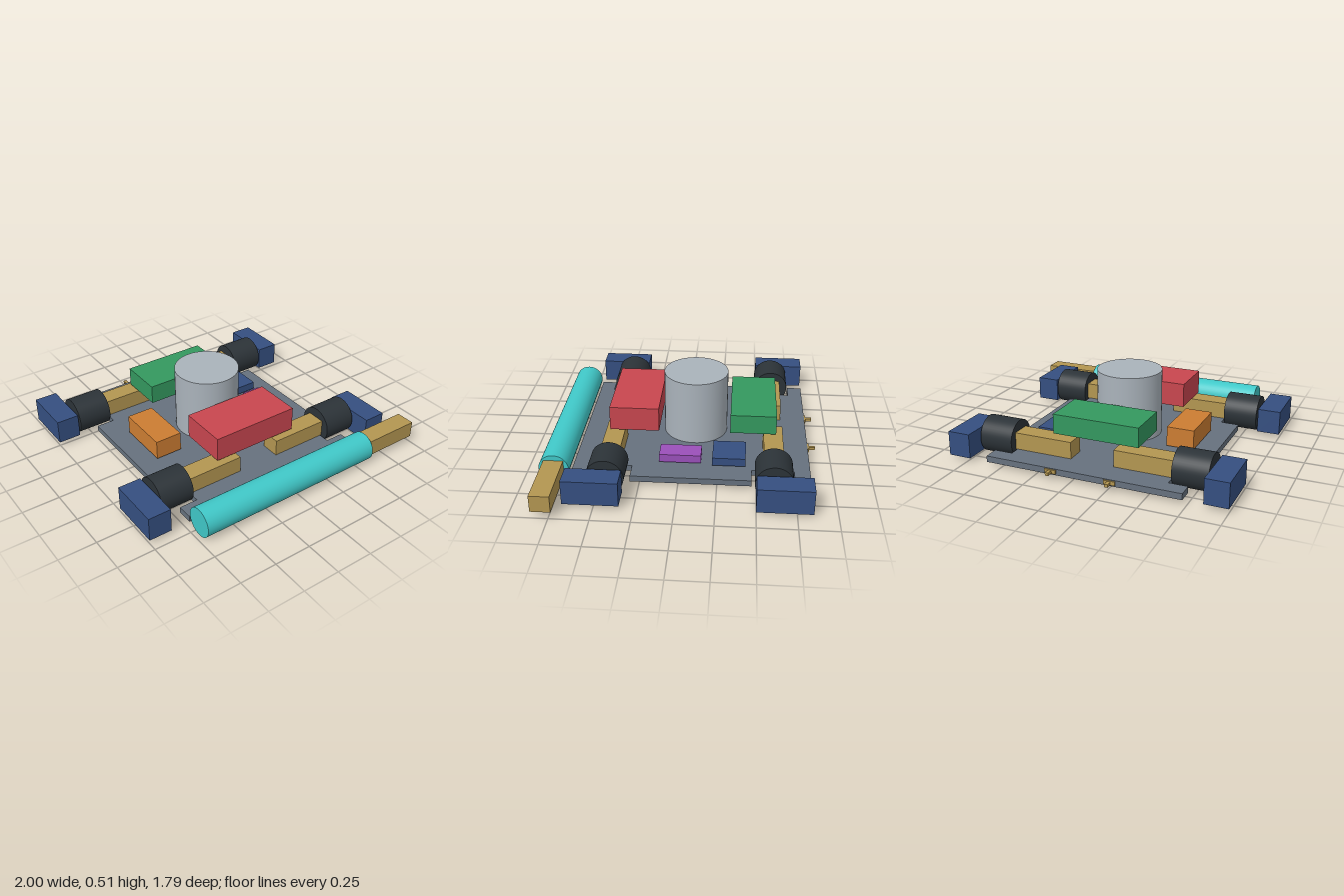
import * as THREE from 'three';

const mat = (name, color) => {
  const m = new THREE.MeshStandardMaterial({ color });
  m.name = name;
  return m;
};

export function createModel() {
  const slate = mat('slate', 0x66717e);
  const silver = mat('silver', 0xaab3bb);
  const red = mat('red', 0xc8464f);
  const green = mat('green', 0x34985f);
  const orange = mat('orange', 0xcc7d32);
  const purple = mat('purple', 0x9a50ba);
  const navy = mat('navy', 0x354f80);
  const brass = mat('brass', 0xb39651);
  const rubber = mat('rubber', 0x2c3338);
  const teal = mat('teal', 0x40c8c8);

  const group = new THREE.Group();
  group.name = 'rover';
  const cx = -0.06; // centre line of the chassis

  const add = (name, geometry, material) => {
    const mesh = new THREE.Mesh(geometry, material);
    mesh.name = name;
    group.add(mesh);
    return mesh;
  };
  // Box given by its extents on each axis
  const box = (name, material, [x0, x1], [y0, y1], [z0, z1]) => {
    const mesh = add(name, new THREE.BoxGeometry(x1 - x0, y1 - y0, z1 - z0), material);
    mesh.position.set((x0 + x1) / 2, (y0 + y1) / 2, (z0 + z1) / 2);
  };
  // Cylinder lying along x
  const roller = (name, material, r, [x0, x1], y, z) => {
    const mesh = add(name, new THREE.CylinderGeometry(r, r, x1 - x0, 48).rotateZ(Math.PI / 2), material);
    mesh.position.set((x0 + x1) / 2, y, z);
  };
  // Flat shape drawn in (x, -z), extruded upwards from y
  const slab = (name, shape, y, depth) => {
    const geometry = new THREE.ExtrudeGeometry(shape, { depth, bevelEnabled: false });
    add(name, geometry.rotateX(-Math.PI / 2), slate).position.y = y;
  };
  const points = (list) => list.map(([x, z]) => new THREE.Vector2(x, -z));

  // Chassis plate with four wheel notches
  const half = [
    [0.66, -0.848], [0.66, -0.745], [0.536, -0.745], [0.536, -0.47], [0.66, -0.47],
    [0.66, 0.307], [0.536, 0.307], [0.536, 0.587], [0.66, 0.587], [0.66, 0.69],
  ];
  const outline = [
    ...half.map(([x, z]) => [cx + x, z]),
    ...half.map(([x, z]) => [cx - x, z]).reverse(),
  ];
  slab('chassisPlate', new THREE.Shape(points(outline)), 0.026, 0.041);

  // Shallow frame under the plate
  const rect = (w, d) => points([[cx - w, -0.072 - d], [cx + w, -0.072 - d], [cx + w, -0.072 + d], [cx - w, -0.072 + d]]);
  const frame = new THREE.Shape(rect(0.49, 0.363));
  frame.holes.push(new THREE.Path(rect(0.435, 0.308)));
  slab('underFrame', frame, 0.002, 0.024);

  // Wheels, motors and outer pods on each corner
  for (const side of [-1, 1]) {
    const span = (a, b) => [cx + side * a, cx + side * b].sort((p, q) => p - q);
    for (const [z, pod] of [[-0.61, [-0.848, -0.498]], [0.449, [0.339, 0.692]]]) {
      roller('wheel', rubber, 0.121, span(0.546, 0.776), 0.123, z);
      box('wheelMotor', brass, span(0.147, 0.546), [0.067, 0.179], [z - 0.064, z + 0.064]);
      box('outerPod', navy, span(0.787, 0.94), [0.027, 0.19], pod);
    }
    // Small rear plugs: flange and pin
    const x = cx + side * 0.199;
    box('plugFlange', brass, [x - 0.038, x + 0.038], [0.036, 0.062], [-0.858, -0.848]);
    box('plugPin', brass, [x - 0.011, x + 0.011], [0.039, 0.059], [-0.9, -0.858]);
  }

  // Front roller and its motor
  roller('frontRoller', teal, 0.0975, [-0.72, 0.6], 0.0985, 0.796);
  box('rollerMotor', brass, [0.6, 1.0], [0.047, 0.159], [0.731, 0.859]);

  // Central drum
  const drum = add('centralDrum', new THREE.CylinderGeometry(0.218, 0.218, 0.444, 48), silver);
  drum.position.set(cx, 0.288, -0.079);

  // Equipment boxes
  box('frontBox', red, [-0.364, 0.241], [0.2, 0.364], [0.152, 0.481]);
  box('rearBox', green, [-0.354, 0.233], [0.2, 0.331], [-0.628, -0.323]);
  box('sideBox', orange, [-0.584, -0.4], [0.08, 0.211], [-0.261, 0.106]);
  box('slimModule', purple, [0.303, 0.436], [0.08, 0.135], [-0.14, 0.133]);
  box('flatModule', navy, [0.234, 0.456], [0.08, 0.135], [-0.43, -0.214]);

  return group;
}
